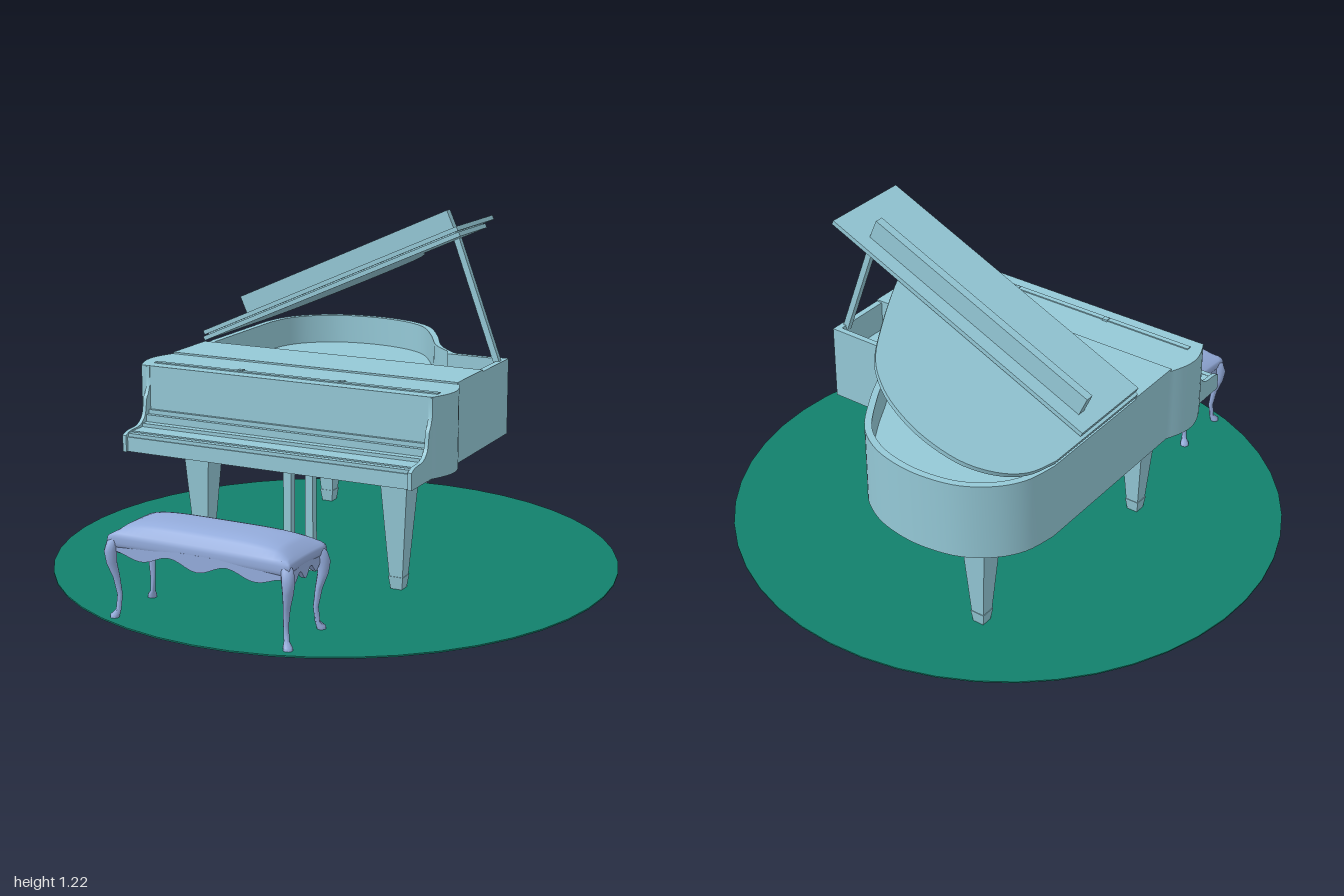
import * as THREE from 'three';
import { toCreasedNormals, mergeVertices } from 'three/addons/utils/BufferGeometryUtils.js';

const lacquer = new THREE.MeshStandardMaterial({ color: 0x94c8d6, side: THREE.DoubleSide });
const fabric = new THREE.MeshStandardMaterial({ color: 0x94acdc, side: THREE.DoubleSide });
const green = new THREE.MeshStandardMaterial({ color: 0x12806c });

function add(parent, name, geometry, material = lacquer) {
  const mesh = new THREE.Mesh(geometry, material);
  mesh.name = name;
  parent.add(mesh);
  return mesh;
}

// Box given by its limits on each axis
function box(parent, name, [x0, x1], [y0, y1], [z0, z1], material) {
  const mesh = add(parent, name, new THREE.BoxGeometry(x1 - x0, y1 - y0, z1 - z0), material);
  mesh.position.set((x0 + x1) / 2, (y0 + y1) / 2, (z0 + z1) / 2);
  return mesh;
}

// Square frustum standing upright
function frustum(parent, name, x, z, y0, y1, half0, half1) {
  const g = new THREE.CylinderGeometry(half1 * Math.SQRT2, half0 * Math.SQRT2, y1 - y0, 4);
  g.rotateY(Math.PI / 4);
  const mesh = add(parent, name, toCreasedNormals(g, 0.5));
  mesh.position.set(x, (y0 + y1) / 2, z);
  return mesh;
}

// Plan outline of [x, z] points raised from y0 to y1
function slab(points, y0, y1, hole) {
  const toPlan = (list) => list.map(([x, z]) => new THREE.Vector2(x, -z));
  const shape = new THREE.Shape(toPlan(points));
  if (hole) shape.holes.push(new THREE.Path(toPlan(hole)));
  const g = new THREE.ExtrudeGeometry(shape, { depth: y1 - y0, bevelEnabled: false });
  g.rotateX(-Math.PI / 2).translate(0, y0, 0);
  return toCreasedNormals(g, 0.5);
}

function spline(points, count) {
  return new THREE.SplineCurve(points.map((p) => new THREE.Vector2(...p)))
    .getPoints(count).map((p) => [p.x, p.y]);
}

const tail = [[0.215, -0.43], [0.13, -0.59], [0.04, -0.73], [-0.05, -0.8], [-0.15, -0.835],
  [-0.27, -0.845], [-0.4, -0.82], [-0.5, -0.755], [-0.56, -0.67], [-0.585, -0.56]];

// Side swelling beside the keyboard, from front to back
function cheekBulge(x, out) {
  return Array.from({ length: 13 }, (_, i) => {
    const t = i / 12;
    return [x + out * Math.sin(Math.PI * t), 0.34 - 0.22 * t];
  });
}

function buildCase(piano) {
  const curve = spline([[0.31, -0.33], ...tail], 48);
  const outline = [...cheekBulge(0.515, 0.035), [0.515, -0.33], ...curve,
    ...cheekBulge(-0.585, -0.032).reverse()];
  const inner = curve.map(([x, z]) => {
    const d = Math.hypot(x + 0.25, z + 0.5);
    return [x - 0.024 * (x + 0.25) / d, z - 0.024 * (z + 0.5) / d];
  });
  const cavity = [[0.493, -0.09], [0.493, -0.308], [0.29, -0.308], ...inner.slice(1), [-0.561, -0.09]];
  add(piano, 'case', slab(outline, 0.435, 0.708, cavity));
  add(piano, 'soundboard', slab(cavity, 0.437, 0.6));
  box(piano, 'frontLid', [-0.585, 0.515], [0.705, 0.714], [-0.09, 0.13]);
  box(piano, 'musicLedge', [-0.56, 0.515], [0.705, 0.712], [0.275, 0.295]);
  for (const x of [-0.225, 0.16]) box(piano, 'ledgeStop', [x - 0.008, x + 0.012], [0.705, 0.715], [0.27, 0.29]);
}

function buildKeyboard(piano) {
  // Scrolled arms at both ends of the keyboard
  const arm = new THREE.Shape();
  arm.moveTo(0.3, 0.437);
  arm.lineTo(0.5, 0.437);
  arm.lineTo(0.5, 0.495);
  arm.bezierCurveTo(0.46, 0.52, 0.42, 0.495, 0.39, 0.525);
  arm.bezierCurveTo(0.36, 0.545, 0.375, 0.6, 0.355, 0.61);
  arm.lineTo(0.342, 0.64);
  arm.lineTo(0.342, 0.705);
  arm.lineTo(0.3, 0.705);
  for (const x of [-0.565, 0.503]) {
    const g = new THREE.ExtrudeGeometry(arm, { depth: 0.014, bevelEnabled: false });
    g.rotateY(-Math.PI / 2).scale(-1, 1, 1);
    // Mirroring turns the faces, so use the plain quarter turn with z kept positive
    const p = g.attributes.position;
    const idx = Array.from({ length: p.count }, (_, i) => (i % 3 === 0 ? i : i % 3 === 1 ? i + 1 : i - 1));
    g.setIndex(idx);
    add(piano, 'arm', toCreasedNormals(g.toNonIndexed(), 0.5)).position.x = x;
  }
  const span = [-0.555, 0.505];
  box(piano, 'keybed', span, [0.437, 0.488], [0.3, 0.49]);
  box(piano, 'keySlip', span, [0.488, 0.5], [0.465, 0.485]);
  box(piano, 'whiteKeys', span, [0.488, 0.503], [0.33, 0.46]);
  box(piano, 'blackKeys', span, [0.503, 0.515], [0.33, 0.395]);
  box(piano, 'keyRail', span, [0.5, 0.54], [0.33, 0.368]);
  box(piano, 'fallboard', span, [0.53, 0.555], [0.33, 0.352]);
}

function buildLid(piano) {
  const lid = new THREE.Group();
  lid.name = 'raisedLid';
  lid.position.set(-0.585, 0.716, 0);
  lid.rotation.z = 0.42;
  const outline = [[0.52, -0.09], [0.52, -0.33], ...spline([[0.255, -0.33], ...tail], 48), [-0.585, -0.09]]
    .map(([x, z]) => [x + 0.585, z]);
  add(lid, 'mainLid', slab(outline, 0, 0.016));
  box(lid, 'foldedLeaf', [0.01, 1.105], [0.02, 0.036], [-0.415, -0.088]);
  box(lid, 'leafSpine', [0.02, 1.09], [0.014, 0.022], [-0.32, -0.1]);
  box(lid, 'leafRail', [0.065, 0.985], [0.034, 0.11], [-0.362, -0.332]);
  piano.add(lid);

  // Prop between the case rim and the lid
  const a = new THREE.Vector3(0.5, 0.69, -0.275), b = new THREE.Vector3(0.335, 1.135, -0.275);
  const prop = add(piano, 'lidProp', new THREE.BoxGeometry(0.022, a.distanceTo(b), 0.022));
  prop.position.copy(a).add(b).multiplyScalar(0.5);
  prop.rotation.z = Math.atan2(a.x - b.x, b.y - a.y);
}

function buildSupports(piano) {
  for (const [x, z, px] of [[-0.41, 0.225, -0.385], [0.35, 0.225, 0.345], [-0.335, -0.61, -0.335]]) {
    const plate = frustum(piano, 'legPlate', px, z, 0.395, 0.422, 0.07, 0.12);
    if (x > 0) plate.scale.x = 1.28;
    box(piano, 'legBlock', [x - 0.06, x + 0.06], [0.42, 0.437], [z - 0.06, z + 0.06]);
    frustum(piano, 'leg', x, z, 0.04, 0.4, 0.024, 0.05);
    frustum(piano, 'legFoot', x, z, 0, 0.05, 0.02, 0.027);
  }
  // Pedal frame
  box(piano, 'pedalMount', [-0.21, 0.145], [0.4, 0.437], [0.07, 0.25]);
  box(piano, 'pedalHead', [-0.18, 0.1], [0.372, 0.402], [0.11, 0.22]);
  for (const x of [-0.09, -0.005]) box(piano, 'pedalPost', [x - 0.015, x + 0.015], [0.05, 0.38], [0.17, 0.2]);
  box(piano, 'pedalBox', [-0.115, 0.025], [0.015, 0.068], [0.16, 0.225]);
  box(piano, 'pedalBase', [-0.125, 0.035], [0.015, 0.05], [0.158, 0.23]);
}

function buildBench() {
  const bench = new THREE.Group();
  bench.name = 'bench';
  bench.position.set(-0.028, 0, 0.793);
  bench.rotation.y = -0.02;

  // Domed cushion with pillow corners
  const g = new THREE.BoxGeometry(2, 2, 2, 28, 6, 14);
  const p = g.attributes.position;
  for (let i = 0; i < p.count; i++) {
    const x = p.getX(i), y = p.getY(i), z = p.getZ(i);
    const dome = (1 - Math.abs(x) ** 4) * (1 - Math.abs(z) ** 3);
    const swell = 0.95 + 0.05 * Math.sqrt(1 - y * y);
    p.setXYZ(i, x * 0.333 * swell * (1 - 0.02 * (1 - z * z)),
      0.268 + y * 0.024 + (y > 0 ? y * 0.042 * Math.sqrt(dome) : 0),
      z * 0.122 * swell * (1 - 0.05 * (1 - x * x)));
  }
  g.deleteAttribute('uv');
  g.deleteAttribute('normal');
  const smooth = mergeVertices(g);
  smooth.computeVertexNormals();
  add(bench, 'cushion', smooth, fabric);

  // Scalloped aprons
  const apron = (length) => {
    const shape = new THREE.Shape();
    shape.moveTo(-length / 2, 0.262);
    for (let i = 0; i <= 30; i++) {
      const t = i / 15 - 1;
      shape.lineTo(t * length / 2, 0.222 - 0.016 * Math.cos(t * Math.PI * 3) * (1 - 0.4 * t * t));
    }
    shape.lineTo(length / 2, 0.262);
    return toCreasedNormals(new THREE.ExtrudeGeometry(shape, { depth: 0.016, bevelEnabled: false })
      .translate(0, 0, -0.008), 0.6);
  };
  for (const s of [-1, 1]) {
    add(bench, 'longApron', apron(0.64), fabric).position.z = s * 0.108;
    const side = add(bench, 'shortApron', apron(0.21), fabric);
    side.position.x = s * 0.316;
    side.rotation.y = Math.PI / 2;
  }

  // Cabriole legs: [height, outward shift, radius]
  const rings = [[0, 0.004, 0.015], [0.014, 0.002, 0.016], [0.03, -0.006, 0.009], [0.08, -0.01, 0.009],
    [0.14, -0.003, 0.012], [0.19, 0.007, 0.018], [0.23, 0.009, 0.022], [0.262, 0.003, 0.02], [0.28, -0.004, 0.012]];
  for (const sx of [-1, 1]) for (const sz of [-1, 1]) {
    const leg = new THREE.CylinderGeometry(1, 1, 1, 10, rings.length - 1);
    const q = leg.attributes.position;
    for (let i = 0; i < q.count; i++) {
      const [y, shift, r] = rings[Math.round((q.getY(i) + 0.5) * (rings.length - 1))];
      q.setXYZ(i, q.getX(i) * r + sx * (0.317 + shift), y, q.getZ(i) * r + sz * (0.106 + shift));
    }
    add(bench, 'benchLeg', toCreasedNormals(leg, 0.9), fabric);
  }
  return bench;
}

export function createModel() {
  const model = new THREE.Group();
  model.name = 'grandPianoSet';
  add(model, 'floorDisc', new THREE.CylinderGeometry(1, 1, 0.005, 48), green).position.y = 0.0025;
  const piano = new THREE.Group();
  piano.name = 'piano';
  buildCase(piano);
  buildKeyboard(piano);
  buildLid(piano);
  buildSupports(piano);
  model.add(piano, buildBench());
  return model;
}
